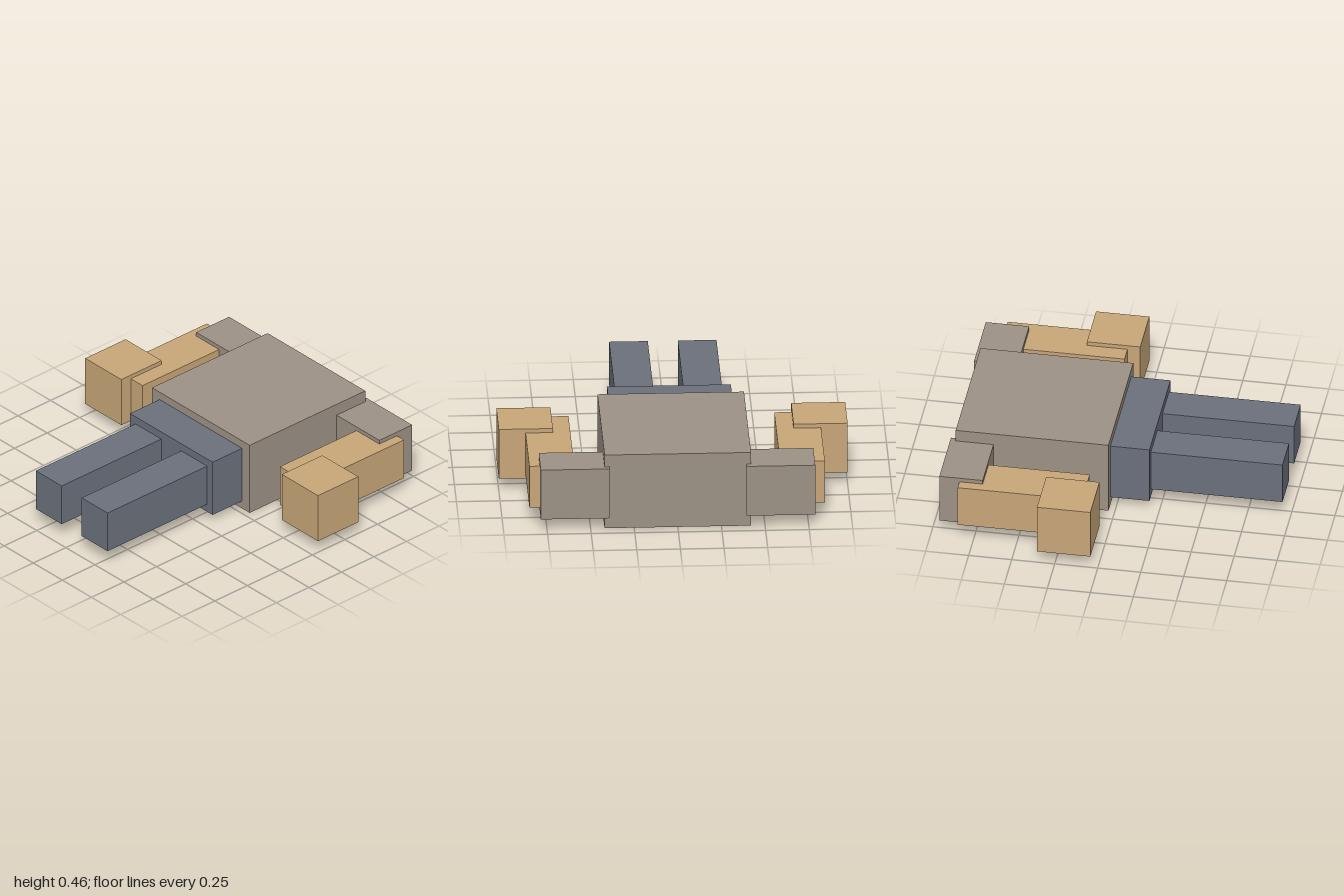
import * as THREE from 'three';

const material = (name, color) => {
  const m = new THREE.MeshStandardMaterial({ color });
  m.name = name;
  return m;
};

export function createModel() {
  const group = new THREE.Group();
  group.name = 'lyingBlockFigure';
  const shirt = material('taupe shirt', 0x9c9185);
  const skin = material('tan skin', 0xc8a678);
  const trousers = material('slate trousers', 0x6b707c);

  // Box given by its limits along each axis
  const addBox = (name, mat, [x0, x1], [y0, y1], [z0, z1]) => {
    const mesh = new THREE.Mesh(new THREE.BoxGeometry(x1 - x0, y1 - y0, z1 - z0), mat);
    mesh.position.set((x0 + x1) / 2, (y0 + y1) / 2, (z0 + z1) / 2);
    mesh.name = name;
    group.add(mesh);
  };
  // The same box on both sides of the body
  const addPair = (name, mat, [x0, x1], y, z) => {
    addBox('left' + name, mat, [x0, x1], y, z);
    addBox('right' + name, mat, [-x1, -x0], y, z);
  };

  // Trunk, lying on its back along z
  addBox('torso', shirt, [-0.42, 0.42], [0, 0.455], [-0.925, -0.037]);
  addBox('pelvis', trousers, [-0.355, 0.355], [0.05, 0.405], [-0.037, 0.19]);

  // Limbs
  addPair('Leg', trousers, [0.086, 0.308], [0.1, 0.357], [0.19, 0.955]);
  addPair('Sleeve', shirt, [0.393, 0.787], [0.075, 0.382], [-0.957, -0.705]);
  addPair('Arm', skin, [0.59, 0.847], [0.1, 0.357], [-0.84, -0.117]);
  addPair('Hand', skin, [0.69, 1.0], [0.075, 0.382], [-0.353, -0.043]);

  return group;
}
